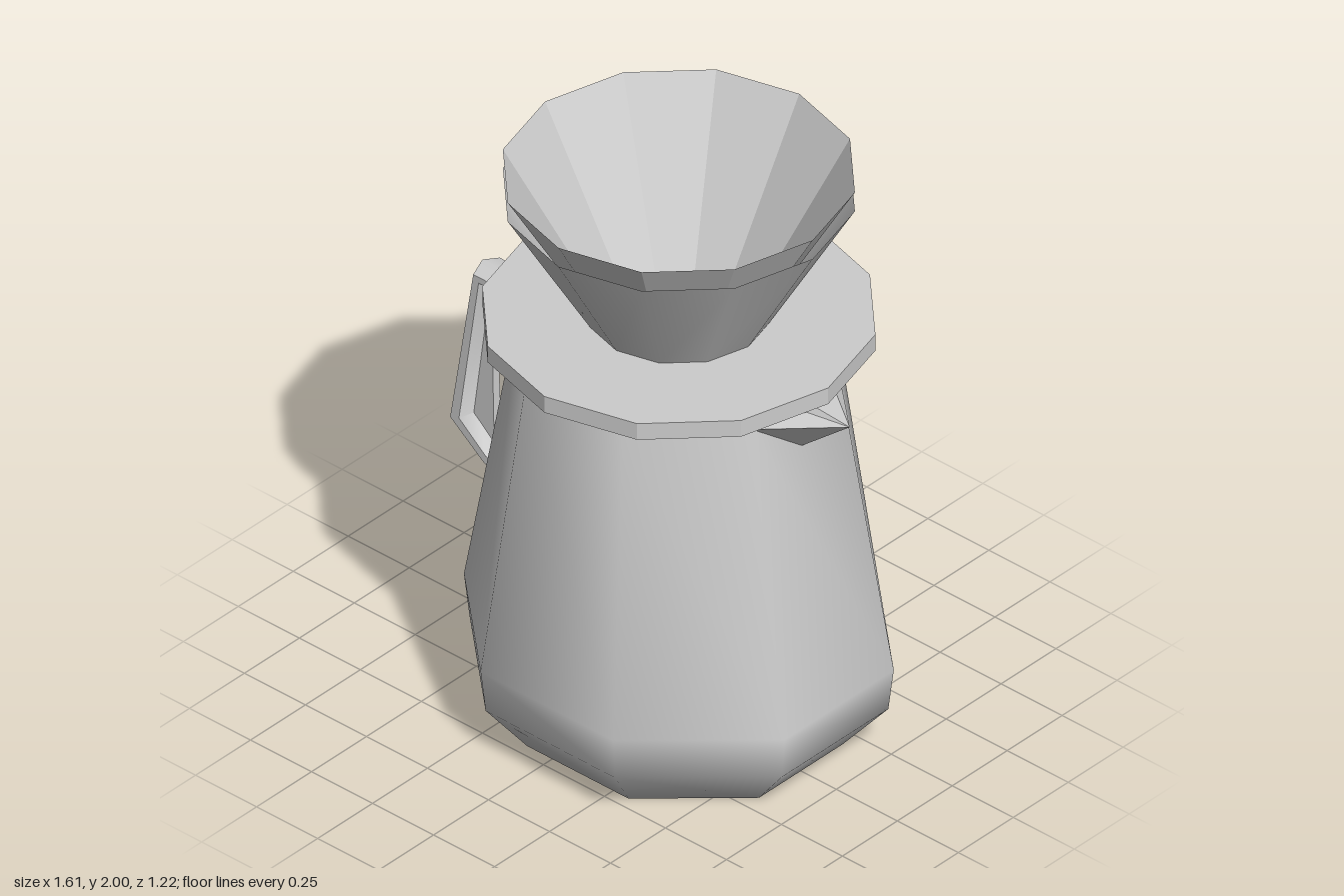
import * as THREE from 'three';
import { mergeVertices, toCreasedNormals } from 'three/addons/utils/BufferGeometryUtils.js';

const AXIS_X = 0.105; // the pot sits off-centre because of the handle

const material = (options = {}) => new THREE.MeshStandardMaterial({ color: 0xcccccc, ...options });

function add(group, name, geometry, options) {
  const mesh = new THREE.Mesh(geometry, material(options));
  mesh.name = name;
  group.add(mesh);
  return mesh;
}

// Eight-sided body; each ring is [half width in x, half depth in z, height]
function bodyGeometry() {
  const rings = [
    [0, 0, 0], [0.5, 0.46, 0], [0.64, 0.585, 0.17], [0.657, 0.6, 0.32],
    [0.478, 0.476, 1.37], [0.465, 0.465, 1.43], [0, 0, 1.43],
  ];
  const flat = Math.cos(Math.PI / 8);
  let geometry = new THREE.LatheGeometry(rings.map((r) => new THREE.Vector2(r[0] / flat, r[2])), 8, Math.PI / 8);
  const p = geometry.attributes.position;
  for (let i = 0; i < p.count; i++) {
    const [hx, hz] = rings[i % rings.length];
    if (hx > 0) p.setZ(i, p.getZ(i) * hz / hx);
  }
  geometry.deleteAttribute('normal');
  geometry.deleteAttribute('uv');
  geometry = mergeVertices(geometry, 1e-4);
  geometry.computeVertexNormals();
  return geometry;
}

// Six-sided handle lofted along pairs of outer and inner points
function handleGeometry() {
  const sections = [
    [-0.34, 1.29, -0.34, 1.23],
    [-0.70, 1.29, -0.645, 1.235],
    [-0.805, 0.69, -0.715, 0.72],
    [-0.65, 0.575, -0.625, 0.64],
    [-0.46, 0.505, -0.46, 0.565],
  ];
  const hexagon = [[0, 0], [0.3, 0.06], [0.7, 0.06], [1, 0], [0.7, -0.06], [0.3, -0.06]];
  const positions = [];
  const index = [];
  sections.forEach(([ox, oy, ix, iy], s) => {
    hexagon.forEach(([t, z], k) => {
      positions.push(ox + (ix - ox) * t, oy + (iy - oy) * t, z);
      if (s === sections.length - 1) return;
      const a = s * 6 + k;
      const b = s * 6 + (k + 1) % 6;
      index.push(a, a + 6, b, b, a + 6, b + 6);
    });
  });
  const geometry = new THREE.BufferGeometry();
  geometry.setAttribute('position', new THREE.Float32BufferAttribute(positions, 3));
  geometry.setIndex(index);
  return toCreasedNormals(geometry, 1.1);
}

// Pouring lip: a pointed beak with a shallow channel, mirrored in z
function spoutGeometry() {
  const tip = [0.805, 1.375, 0];
  const keel = [0.61, 1.215, 0];
  const trough = [0.56, 1.39, 0];
  const positions = [];
  for (const m of [1, -1]) {
    const side = [0.57, 1.365, 0.21 * m];
    const ridge = [0.58, 1.445, 0.13 * m];
    for (const [a, b, c] of [[keel, tip, side], [side, tip, ridge], [ridge, tip, trough]]) {
      positions.push(...a, ...(m > 0 ? b : c), ...(m > 0 ? c : b));
    }
  }
  const geometry = new THREE.BufferGeometry();
  geometry.setAttribute('position', new THREE.Float32BufferAttribute(positions, 3));
  geometry.computeVertexNormals();
  return geometry;
}

export function createModel() {
  const model = new THREE.Group();
  model.name = 'pourOverCoffeePot';

  add(model, 'body', bodyGeometry()).position.x = AXIS_X;
  add(model, 'spout', spoutGeometry(), { side: THREE.DoubleSide, flatShading: true });
  add(model, 'handle', handleGeometry(), { side: THREE.DoubleSide });

  // Thin web that widens down the inside of the grip
  const web = new THREE.Shape([
    new THREE.Vector2(-0.65, 1.24), new THREE.Vector2(-0.73, 0.7), new THREE.Vector2(-0.638, 0.62),
  ]);
  const webGeometry = new THREE.ExtrudeGeometry(web, { depth: 0.03, bevelEnabled: false });
  add(model, 'handleWeb', webGeometry).position.z = -0.015;

  // Dripper: flat collar with an open cone standing on it
  const collar = new THREE.CylinderGeometry(0.612, 0.612, 0.06, 12);
  add(model, 'dripperCollar', collar, { flatShading: true }).position.set(AXIS_X, 1.45, 0);
  const cone = new THREE.CylinderGeometry(0.548, 0.285, 0.45, 12, 1, true);
  add(model, 'dripperCone', cone, { side: THREE.DoubleSide }).position.set(AXIS_X, 1.705, 0);

  // Paper filter: a pointed open cone nested in the dripper
  const filter = new THREE.CylinderGeometry(0.548, 0, 0.94, 12, 1, true);
  add(model, 'paperFilter', filter, { side: THREE.DoubleSide, flatShading: true }).position.set(AXIS_X, 1.53, 0);

  // The collar and body top must not show inside the filter
  const ring = new THREE.Shape();
  const hole = new THREE.Path();
  for (let i = 0; i < 12; i++) {
    const a = (i * Math.PI) / 6;
    ring[i ? 'lineTo' : 'moveTo'](0.612 * Math.cos(a), 0.612 * Math.sin(a));
    hole[i ? 'lineTo' : 'moveTo'](0.25 * Math.cos(a), 0.25 * Math.sin(a));
  }
  ring.closePath();
  hole.closePath();
  ring.holes.push(hole);
  const collarMesh = model.getObjectByName('dripperCollar');
  collarMesh.geometry = new THREE.ExtrudeGeometry(ring, { depth: 0.06, bevelEnabled: false })
    .rotateX(-Math.PI / 2).translate(0, -0.03, 0);

  // Leave the body open at the neck
  const body = model.getObjectByName('body');
  const faces = Array.from(body.geometry.index.array);
  const y = body.geometry.attributes.position;
  const open = [];
  for (let i = 0; i < faces.length; i += 3) {
    const tri = faces.slice(i, i + 3);
    if (!tri.every((v) => y.getY(v) > 1.42)) open.push(...tri);
  }
  body.geometry.setIndex(open);
  body.geometry.computeVertexNormals();
  body.material.side = THREE.DoubleSide;

  return model;
}
